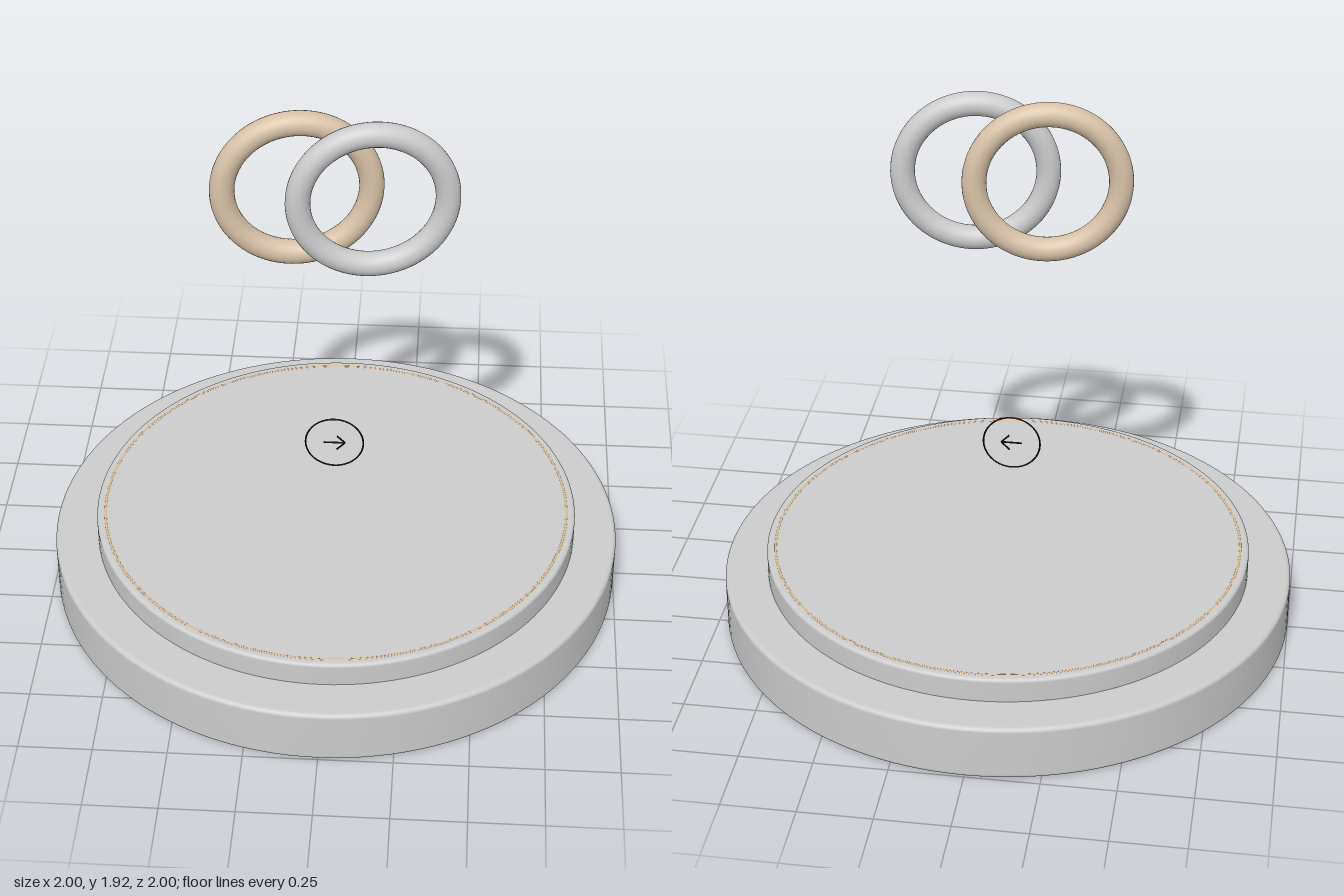
import * as THREE from 'three';

const grey = new THREE.MeshStandardMaterial({ color: 0xcccccc });
const tan = new THREE.MeshStandardMaterial({ color: 0xd8c2a8 });
const gold = new THREE.MeshStandardMaterial({ color: 0xe0b98c });
const black = new THREE.MeshStandardMaterial({ color: 0x111111 });

function add(parent, name, geometry, material, x = 0, y = 0, z = 0) {
  const mesh = new THREE.Mesh(geometry, material);
  mesh.name = name;
  mesh.position.set(x, y, z);
  parent.add(mesh);
  return mesh;
}

// Solid disc with rounded rims, turned from a profile running bottom to top
function roundedDisc(radius, bottom, top, round) {
  const points = [new THREE.Vector2(0, bottom), new THREE.Vector2(radius - round - 0.002, bottom)];
  const corner = (cy, start) => {
    for (let i = 0; i <= 5; i++) {
      const a = start + (i / 5) * Math.PI / 2;
      points.push(new THREE.Vector2(radius - round + round * Math.cos(a), cy + round * Math.sin(a)));
    }
  };
  corner(bottom + round, -Math.PI / 2);
  corner(top - round, 0);
  points.push(new THREE.Vector2(radius - round - 0.002, top), new THREE.Vector2(0, top));
  return new THREE.LatheGeometry(points, 128);
}

// Thin straight rod between two points in the marker plane
function rod(parent, name, x1, y1, x2, y2) {
  const path = new THREE.LineCurve3(new THREE.Vector3(x1, y1, 0), new THREE.Vector3(x2, y2, 0));
  add(parent, name, new THREE.TubeGeometry(path, 1, 0.003, 6), black);
}

export function createModel() {
  const model = new THREE.Group();

  // Two-step round pedestal with a fine inlaid trim
  add(model, 'lowerStep', roundedDisc(1, 0, 0.197, 0.015), grey);
  add(model, 'upperStep', roundedDisc(0.85, 0.18, 0.283, 0.012), grey);
  const trim = add(model, 'trimRing', new THREE.TorusGeometry(0.82, 0.006, 8, 128), gold, 0, 0.2785, 0);
  trim.rotation.x = Math.PI / 2;

  // Pair of overlapping floating rings, turned slightly about the vertical
  const ring = new THREE.TorusGeometry(0.243, 0.041, 24, 96);
  add(model, 'backRing', ring, tan, -0.122, 1.637, 0.07).rotation.y = 0.148;
  add(model, 'frontRing', ring, grey, 0.127, 1.637, 0.127).rotation.y = 0.148;

  // Wire circle with an arrow inside
  const marker = new THREE.Group();
  marker.name = 'arrowMarker';
  marker.position.set(0, 0.62, 0.09);
  add(marker, 'markerCircle', new THREE.TorusGeometry(0.1, 0.003, 6, 64), black);
  rod(marker, 'arrowShaft', -0.037, 0, 0.037, 0);
  for (const side of [-1, 1]) rod(marker, 'arrowBarb', 0.037, 0, 0.008, side * 0.029);
  model.add(marker);

  return model;
}
